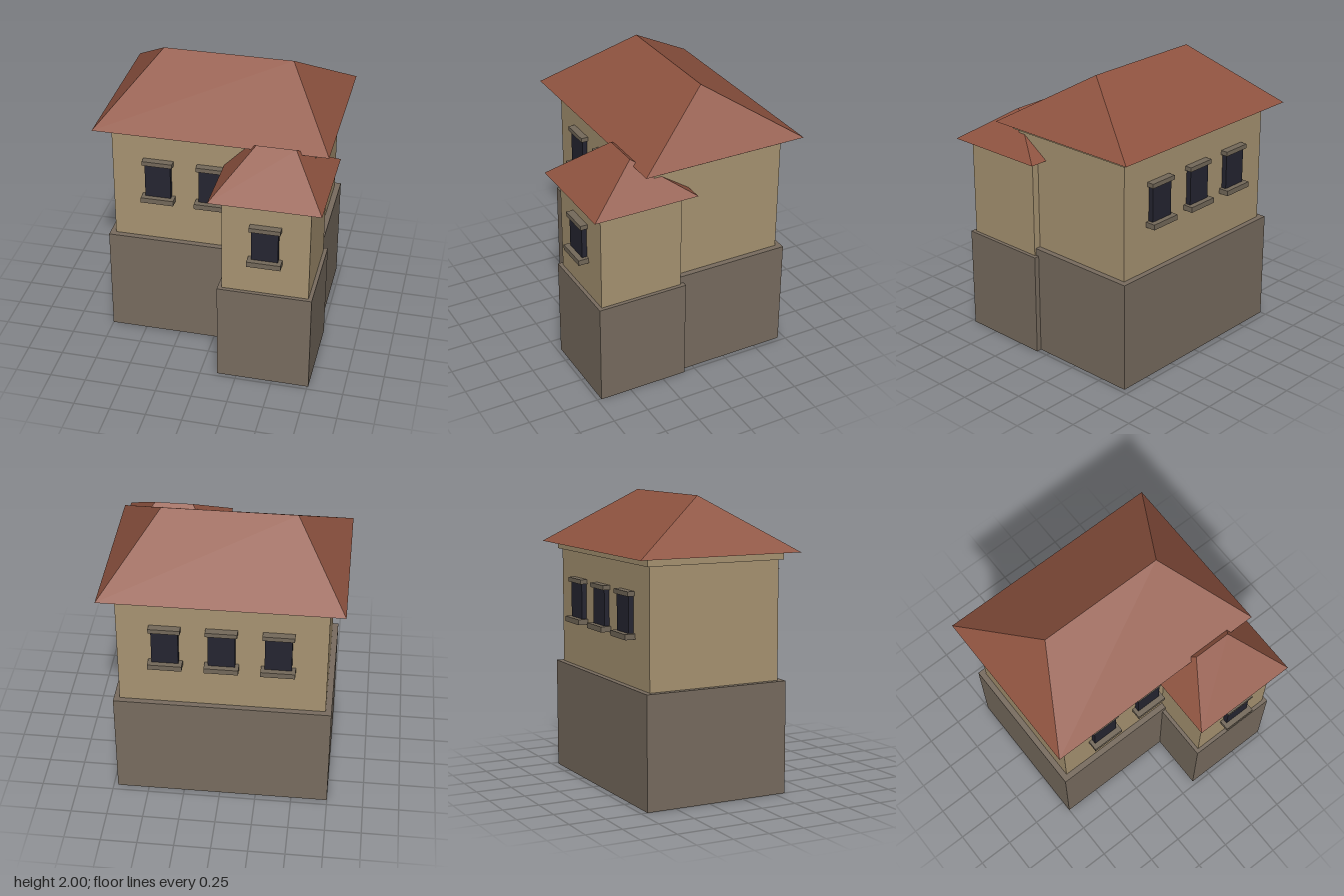
import * as THREE from 'three';

const mat = (name, color, side = THREE.FrontSide) => {
  const m = new THREE.MeshStandardMaterial({ color, side });
  m.name = name;
  return m;
};

export function createModel() {
  const model = new THREE.Group();
  model.name = 'house';
  const stone = mat('stone', 0x786c5f, THREE.DoubleSide);
  const plaster = mat('plaster', 0xa89472, THREE.DoubleSide);
  const tile = mat('roofTile', 0x8f5340, THREE.DoubleSide);
  const glass = mat('darkGlass', 0x252531);
  const trim = mat('windowTrim', 0x74695a);

  const add = (parent, name, geometry, material) => {
    const mesh = new THREE.Mesh(geometry, material);
    mesh.name = name;
    parent.add(mesh);
    return mesh;
  };

  // Box given by its limits on each axis
  const box = (parent, name, material, [x0, x1], [y0, y1], [z0, z1], openBottom = false) => {
    const g = new THREE.BoxGeometry(x1 - x0, y1 - y0, z1 - z0);
    if (openBottom) {
      // Drop the downward face
      const index = Array.from(g.index.array);
      index.splice(18, 6);
      g.setIndex(index);
      g.clearGroups();
    }
    g.translate((x0 + x1) / 2, (y0 + y1) / 2, (z0 + z1) / 2);
    return add(parent, name, g, material);
  };

  // Hipped roof shell, open underneath: four eave corners and a ridge along x
  const hipRoof = (parent, name, [x0, x1], [z0, z1], [y0, y1], [r0, r1]) => {
    const zm = (z0 + z1) / 2;
    const a = [x0, y0, z1], b = [x1, y0, z1], c = [x1, y0, z0], d = [x0, y0, z0];
    const l = [r0, y1, zm], r = [r1, y1, zm];
    const faces = [a, b, r, a, r, l, c, d, l, c, l, r, b, c, r, d, a, l];
    const g = new THREE.BufferGeometry();
    g.setAttribute('position', new THREE.Float32BufferAttribute(faces.flat(), 3));
    g.computeVertexNormals();
    add(parent, name, g, tile);
  };

  // Window on a wall facing +z, with origin at the bottom centre of the pane
  const makeWindow = (parent, name, x, y, z, height, back = false) => {
    const w = new THREE.Group();
    w.name = name;
    box(w, 'pane', glass, [-0.089, 0.089], [0, height], [-0.01, 0.035]);
    box(w, 'lintel', trim, [-0.105, 0.105], [height, height + 0.031], [-0.01, 0.05]);
    box(w, 'sill', trim, [-0.114, 0.114], [-0.037, 0], [-0.01, 0.072]);
    w.position.set(x, y, z);
    if (back) w.rotation.y = Math.PI;
    parent.add(w);
  };

  // Main block
  const main = new THREE.Group();
  main.name = 'mainBlock';
  model.add(main);
  box(main, 'mainBase', stone, [-0.75, 0.72], [0, 0.77], [-0.705, 0.325], true);
  box(main, 'mainWalls', plaster, [-0.71, 0.68], [0.77, 1.6], [-0.665, 0.285], true);
  box(main, 'cornice', plaster, [-0.736, 0.706], [1.58, 1.63], [-0.69, 0.311]);
  hipRoof(main, 'mainRoof', [-0.812, 0.783], [-0.775, 0.396], [1.63, 2], [-0.463, 0.432]);
  [-0.388, -0.015, 0.358].forEach((x, i) => {
    makeWindow(main, 'backWindow' + (i + 1), x, 1.124, -0.665, 0.244, true);
    // The annex covers the third bay at the front
    if (i < 2) makeWindow(main, 'frontWindow' + (i + 1), x, 1.124, 0.285, 0.244);
  });

  // Annex at the front corner
  const annex = new THREE.Group();
  annex.name = 'annex';
  model.add(annex);
  box(annex, 'annexBase', stone, [0.116, 0.757], [0, 0.72], [0.083, 0.722], true);
  box(annex, 'annexWalls', plaster, [0.142, 0.731], [0.72, 1.42], [0.109, 0.696], true);
  hipRoof(annex, 'annexRoof', [0.065, 0.809], [0.031, 0.771], [1.418, 1.667], [0.305, 0.57]);
  makeWindow(annex, 'annexWindow', 0.437, 1.002, 0.696, 0.219);

  return model;
}
